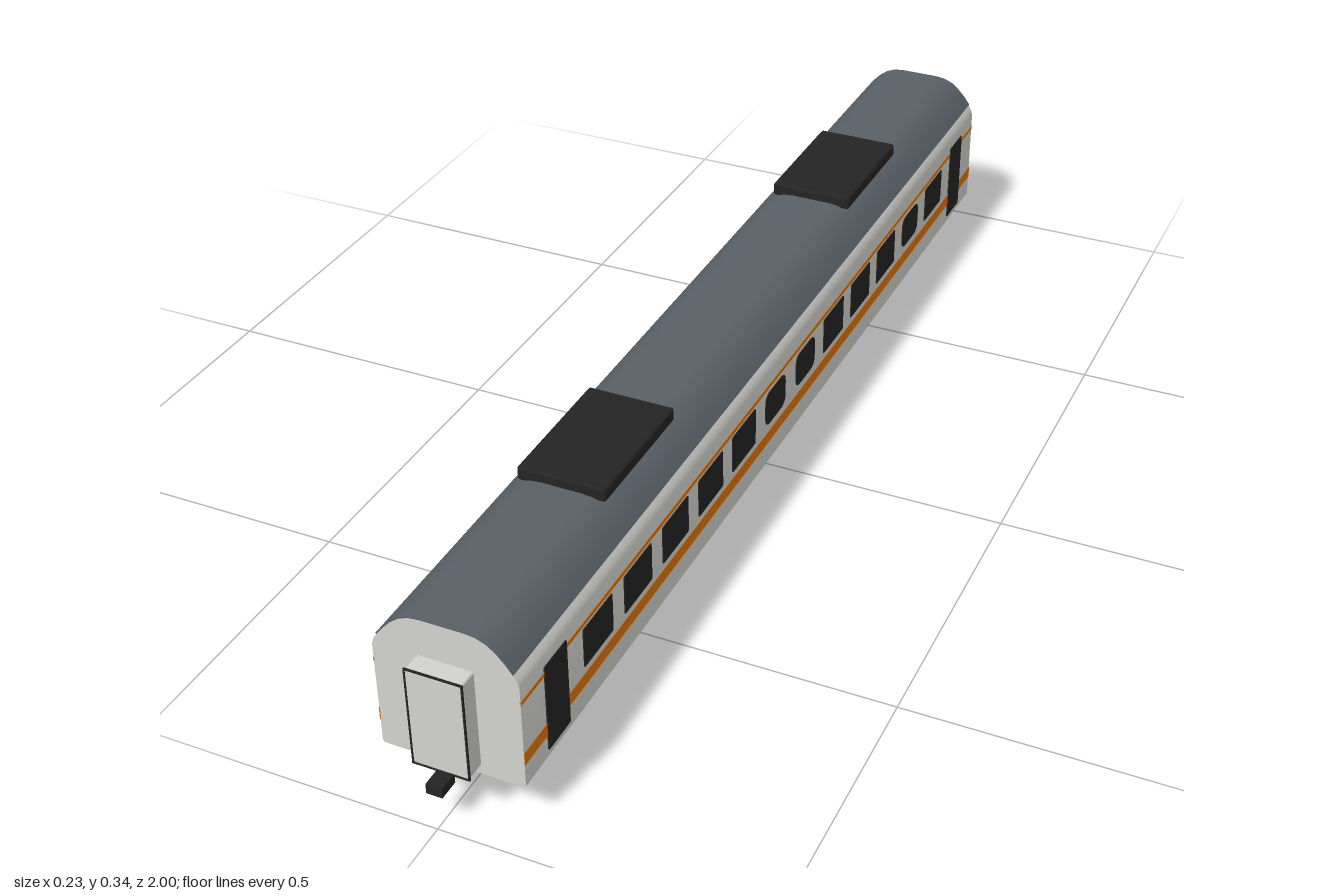
import * as THREE from 'three';
import { toCreasedNormals } from 'three/addons/utils/BufferGeometryUtils.js';
import { RoundedBoxGeometry } from 'three/addons/geometries/RoundedBoxGeometry.js';

const paint = (name, color) => {
  const m = new THREE.MeshStandardMaterial({ color });
  m.name = name;
  return m;
};

export function createModel() {
  const light = paint('light grey paint', 0xd2d2ce);
  const slate = paint('slate grey', 0x586167);
  const black = paint('black', 0x242424);
  const orange = paint('orange', 0xe07810);

  const model = new THREE.Group();
  model.name = 'railCarriage';

  const add = (parent, name, geometry, material, x = 0, y = 0, z = 0) => {
    const mesh = new THREE.Mesh(geometry, material);
    mesh.name = name;
    mesh.position.set(x, y, z);
    parent.add(mesh);
    return mesh;
  };
  const box = (parent, name, material, w, h, d, x, y, z) =>
    add(parent, name, new THREE.BoxGeometry(w, h, d), material, x, y, z);
  const group = (parent, name) => {
    const g = new THREE.Group();
    g.name = name;
    parent.add(g);
    return g;
  };

  // Extrude a closed outline along z, centred
  const extrude = (points, length) => {
    const shape = new THREE.Shape(points.map(([x, y]) => new THREE.Vector2(x, y)));
    const g = new THREE.ExtrudeGeometry(shape, { depth: length, bevelEnabled: false });
    g.translate(0, 0, -length / 2);
    return toCreasedNormals(g, 0.6);
  };
  const mirrored = (half) => [...half, ...half.map(([x, y]) => [-x, y]).reverse()];

  // Body shell
  const length = 1.89;
  const upper = [[0.106, 0.275], [0.095, 0.29], [0.082, 0.304], [0.068, 0.315], [0.052, 0.3215], [0.035, 0.3235]];
  const lower = [[0.112, 0.075], [0.115, 0.078], [0.115, 0.256], [0.112, 0.266]];
  add(model, 'body', extrude(mirrored([...lower, ...upper]), length), light);

  // Roof skin, a thin layer over the upper profile
  const outer = upper.map(([x, y], i) => [x + 0.0018 * (1 - i / 6), y + 0.0015]);
  add(model, 'roof', extrude([...mirrored(outer), ...mirrored(upper).reverse()], length), slate);

  // Roof units
  for (const s of [1, -1]) {
    add(model, 'roofUnit', new RoundedBoxGeometry(0.146, 0.024, 0.236, 2, 0.005), black, 0, 0.33, s * 0.483);
  }

  // Side details, repeated on the other side by a half turn
  const plate = (w, h, r) => {
    const s = new THREE.Shape();
    const x = w / 2, y = h / 2;
    s.moveTo(-x + r, -y);
    s.lineTo(x - r, -y);
    s.quadraticCurveTo(x, -y, x, -y + r);
    s.lineTo(x, y - r);
    s.quadraticCurveTo(x, y, x - r, y);
    s.lineTo(-x + r, y);
    s.quadraticCurveTo(-x, y, -x, y - r);
    s.lineTo(-x, -y + r);
    s.quadraticCurveTo(-x, -y, -x + r, -y);
    const g = new THREE.ExtrudeGeometry(s, { depth: 0.002, bevelEnabled: false, curveSegments: 4 });
    return g.rotateY(Math.PI / 2);
  };
  for (const turn of [0, Math.PI]) {
    const side = group(model, turn ? 'rightSide' : 'leftSide');
    side.rotation.y = turn;
    box(side, 'wideStripe', orange, 0.002, 0.022, length, 0.115, 0.128, 0);
    box(side, 'thinStripe', orange, 0.002, 0.007, length, 0.115, 0.228, 0);
    for (let i = 0; i < 12; i++) {
      const round = i === 5 || i === 6 || i === 10;
      const geometry = round ? plate(0.084, 0.062, 0.018) : plate(0.092, 0.068, 0.003);
      add(side, 'window', geometry, black, 0.1145, 0.185, 0.718 - i * 0.1305);
    }
    for (const s of [1, -1]) {
      add(side, 'door', plate(0.065, 0.15, 0.002), black, 0.115, 0.165, s * 0.846);
    }
  }

  // Gangway and coupler at each end
  for (const turn of [0, Math.PI]) {
    const end = group(model, turn ? 'rearEnd' : 'frontEnd');
    end.rotation.y = turn;
    add(end, 'gangway', new RoundedBoxGeometry(0.09, 0.17, 0.045, 2, 0.004), light, 0, 0.175, 0.9555);
    const rim = new THREE.Shape();
    rim.moveTo(-0.046, 0.089).lineTo(0.046, 0.089).lineTo(0.046, 0.261).lineTo(-0.046, 0.261);
    const hole = new THREE.Path();
    hole.moveTo(-0.0435, 0.0915).lineTo(-0.0435, 0.2585).lineTo(0.0435, 0.2585).lineTo(0.0435, 0.0915);
    rim.holes.push(hole);
    add(end, 'gangwayRim', new THREE.ExtrudeGeometry(rim, { depth: 0.003, bevelEnabled: false }), black, 0, 0, 0.9755);
    box(end, 'coupler', black, 0.026, 0.017, 0.035, 0, 0.072, 0.9825);
  }

  // Equipment boxes under the floor
  for (const z of [0.312, 0.105, -0.1, -0.31]) {
    box(model, 'equipmentBox', black, 0.164, 0.038, 0.158, 0, 0.056, z);
  }

  // Bogies: side beam on the left, wheels on the right, axles between
  for (const s of [1, -1]) {
    const bogie = group(model, s > 0 ? 'frontBogie' : 'rearBogie');
    bogie.position.z = s * 0.652;
    box(bogie, 'sideBeam', black, 0.012, 0.02, 0.26, 0.065, 0.046, 0);
    for (const z of [0.094, -0.094]) {
      box(bogie, 'axleBox', black, 0.013, 0.036, 0.024, 0.065, 0.05, z);
      const wheel = add(bogie, 'wheel', new THREE.CylinderGeometry(0.034, 0.034, 0.01, 28), slate, -0.055, 0.034, z);
      const axle = add(bogie, 'axle', new THREE.CylinderGeometry(0.006, 0.006, 0.134, 12), black, 0, 0.036, z);
      wheel.rotation.z = axle.rotation.z = Math.PI / 2;
    }
  }

  return model;
}
